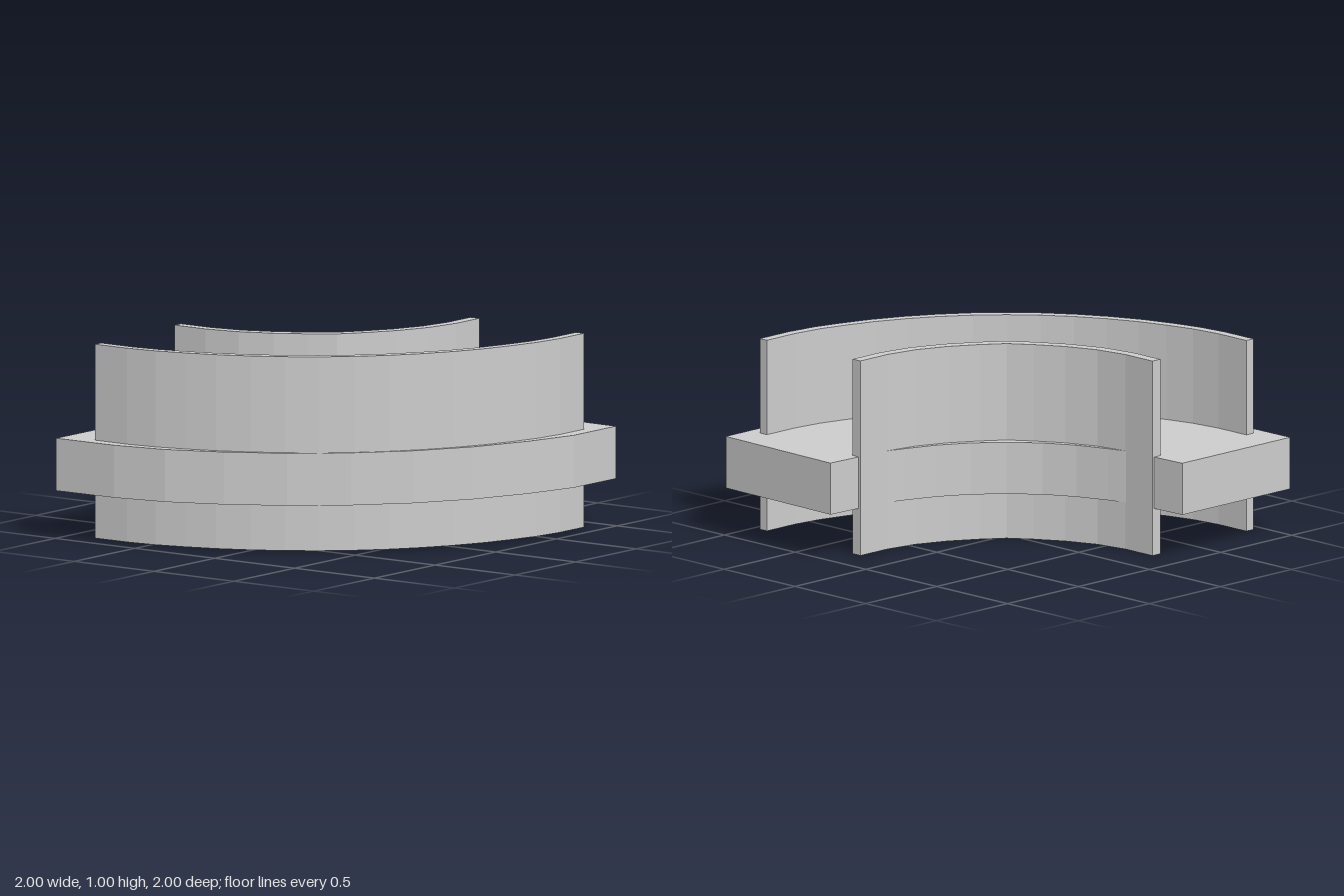
import * as THREE from 'three';

// Plan points are [x, z]. A half curve is mirrored across the diagonal of the bend.
const mirrored = (half, skipLast = false) => [
  ...half,
  ...(skipLast ? half.slice(0, -1) : half).slice().reverse().map(([x, z]) => [z + 0.01, x - 0.01]),
];

// Offset a plan curve sideways to give a wall its thickness.
function offset(points, d) {
  return points.map(([x, z], i) => {
    const a = points[Math.max(i - 1, 0)];
    const b = points[Math.min(i + 1, points.length - 1)];
    const t = new THREE.Vector2(b[0] - a[0], b[1] - a[1]).normalize();
    return [x - t.y * d, z + t.x * d];
  });
}

// Upright solid from a plan outline between two heights.
function prism(name, outline, bottom, top) {
  const shape = new THREE.Shape(outline.map(([x, z]) => new THREE.Vector2(x, -z)));
  const geometry = new THREE.ExtrudeGeometry(shape, { depth: top - bottom, bevelEnabled: false });
  geometry.rotateX(-Math.PI / 2).translate(0, bottom, 0);
  const material = new THREE.MeshStandardMaterial({ color: 0xcccccc, flatShading: true });
  const mesh = new THREE.Mesh(geometry, material);
  mesh.name = name;
  return mesh;
}

const wall = (name, curve, thickness, bottom, top) =>
  prism(name, [...curve, ...offset(curve, thickness).reverse()], bottom, top);

export function createModel() {
  const group = new THREE.Group();
  group.name = 'curvedChannel';

  // Curved deck with straight square ends
  const deckOuter = [
    [-1, 0.99], [-0.64, 0.985], [-0.36, 0.935], [-0.078, 0.82], [0.195, 0.66], [0.44, 0.457],
    [0.65, 0.216], [0.815, -0.06], [0.93, -0.36], [1, -0.64], [1, -0.99],
  ];
  const deckInner = mirrored([
    [-1, 0.23], [-0.64, 0.215], [-0.525, 0.18], [-0.365, 0.12], [-0.21, 0.032], [-0.075, -0.085],
  ], true);
  group.add(prism('deck', [...deckOuter, ...deckInner.reverse()], 0.24, 0.505));

  // Outer wall, running above and below the deck
  const outerCurve = mirrored([
    [-0.81, 0.92], [-0.61, 0.92], [-0.445, 0.9], [-0.29, 0.86], [-0.136, 0.81],
    [0.024, 0.738], [0.174, 0.652], [0.313, 0.553], [0.445, 0.435],
  ], true);
  group.add(wall('outerWall', outerCurve, -0.05, 0.01, 0.99));

  // Inner wall, slightly taller
  const innerCurve = mirrored([
    [-0.81, 0.21], [-0.62, 0.21], [-0.45, 0.18], [-0.29, 0.115], [-0.15, 0.03], [-0.04, -0.05],
  ], true);
  group.add(wall('innerWall', innerCurve, 0.055, 0, 1));

  return group;
}
